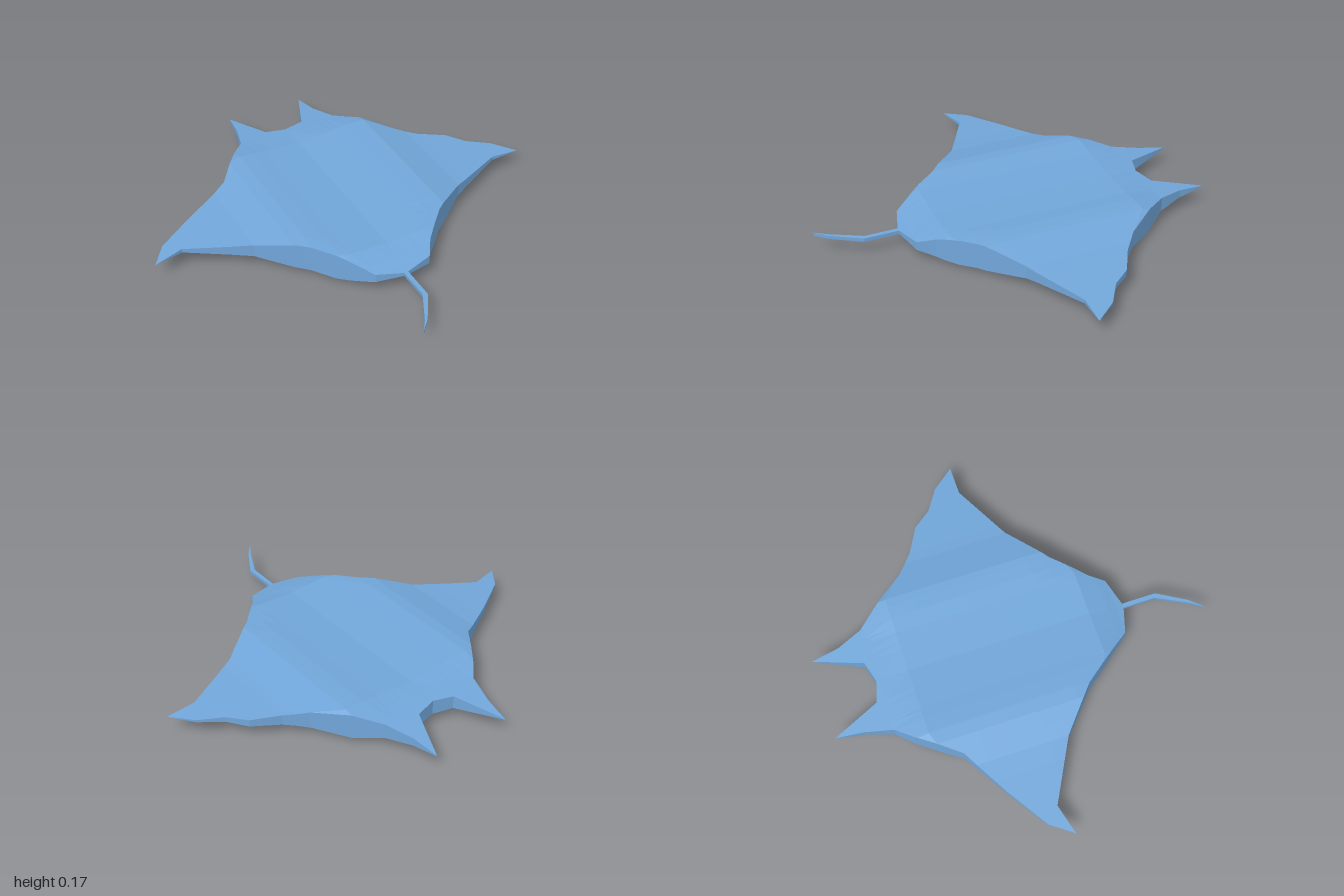
import * as THREE from 'three';

// Piecewise-linear lookup through [position, value] pairs
function lerpTable(table, p) {
  if (p <= table[0][0]) return table[0][1];
  for (let i = 1; i < table.length; i++) {
    const [p0, v0] = table[i - 1], [p1, v1] = table[i];
    if (p <= p1) return v0 + (v1 - v0) * (p - p0) / (p1 - p0);
  }
  return table[table.length - 1][1];
}

// Plan outline: horned edge at -z, tail edge at +z, as [x, z]
const hornEdge = [[-1, -0.02], [-0.92, -0.13], [-0.72, -0.26], [-0.48, -0.4], [-0.33, -0.6],
  [-0.26, -0.68], [-0.22, -0.82], [-0.2, -0.96], [-0.1, -0.72], [0, -0.69], [0.11, -0.72],
  [0.21, -0.96], [0.23, -0.82], [0.28, -0.69], [0.38, -0.57], [0.5, -0.42], [0.6, -0.34],
  [0.73, -0.27], [0.8, -0.18], [0.91, -0.11], [1, 0]];
const tailEdge = [[-1, -0.02], [-0.85, -0.06], [-0.55, 0.1], [-0.34, 0.28], [-0.2, 0.46],
  [-0.14, 0.54], [-0.01, 0.58], [0.01, 0.58], [0.15, 0.54], [0.2, 0.46], [0.34, 0.31],
  [0.55, 0.15], [0.85, 0], [1, 0]];

// Heights of the back and the belly, across the span and along the length
const topAcross = [[0, 0.145], [0.2, 0.155], [0.3, 0.165], [0.38, 0.165], [0.57, 0.121], [1, 0.092]];
const topAlong = [[-0.96, 0.094], [-0.68, 0.13], [-0.53, 0.165], [0.2, 0.165], [0.4, 0.155],
  [0.54, 0.11], [0.58, 0.1]];
const lowAcross = [[0, 0], [0.4, 0.027], [0.57, 0.063], [1, 0.092]];
const lowAlong = [[-0.96, 0.09], [-0.68, 0.05], [-0.53, 0.012], [-0.4, 0], [0.2, 0], [0.4, 0.018],
  [0.5, 0.05], [0.58, 0.082]];
const topY = (x, z) => Math.min(lerpTable(topAcross, Math.abs(x)), lerpTable(topAlong, z));
const lowY = (x, z) => Math.max(lerpTable(lowAcross, Math.abs(x)), lerpTable(lowAlong, z));

// Pale patch under the body, narrowing out along the wings
function isBelly(x, z) {
  const a = Math.abs(x);
  return a < 0.27 ? z > -0.62 && z < 0.46 : a < 0.66 && z > -0.32 && z < 0.4 - 0.6 * a;
}

function facetedMesh(name, positions, material) {
  const geometry = new THREE.BufferGeometry();
  geometry.setAttribute('position', new THREE.Float32BufferAttribute(positions, 3));
  geometry.computeVertexNormals();
  const mesh = new THREE.Mesh(geometry, material);
  mesh.name = name;
  return mesh;
}

// Add a quad as two triangles, skipping any that have collapsed
function addQuad(out, a, b, c, d) {
  for (const [p, q, r] of [[a, b, c], [a, c, d]]) {
    const area = q.clone().sub(p).cross(r.clone().sub(p)).length();
    if (area > 1e-7) for (const v of [p, q, r]) out.push(v.x, v.y, v.z);
  }
}

export function createModel() {
  const model = new THREE.Group();
  model.name = 'ray';
  const blue = new THREE.MeshStandardMaterial({ color: 0x71a6d9, flatShading: true });
  const pale = new THREE.MeshStandardMaterial({ color: 0xa8a299, flatShading: true });

  // Slices across the span, each split at shared lengthwise stations
  const xs = [...new Set([...hornEdge, ...tailEdge].map(p => p[0]).concat([-0.4, -0.65, 0.66]))]
    .sort((a, b) => a - b);
  const stations = [-0.82, -0.68, -0.53, -0.4, -0.3, -0.15, 0, 0.1, 0.2, 0.3, 0.4, 0.5, 0.54];
  const slices = xs.map(x => {
    const z0 = lerpTable(hornEdge, x), z1 = lerpTable(tailEdge, x);
    const zs = [z0, ...stations.map(z => THREE.MathUtils.clamp(z, z0, z1)), z1];
    return {
      top: zs.map(z => new THREE.Vector3(x, topY(x, z), z)),
      low: zs.map(z => new THREE.Vector3(x, lowY(x, z), z)),
    };
  });

  const back = [], underside = [], belly = [], rim = [];
  for (let i = 0; i < slices.length - 1; i++) {
    const s = slices[i], t = slices[i + 1], n = s.top.length - 1;
    for (let j = 0; j < n; j++) {
      addQuad(back, s.top[j], s.top[j + 1], t.top[j + 1], t.top[j]);
      const corners = [s.low[j], t.low[j], t.low[j + 1], s.low[j + 1]];
      const mid = corners.reduce((m, v) => m.addScaledVector(v, 0.25), new THREE.Vector3());
      addQuad(isBelly(mid.x, mid.z) ? belly : underside, ...corners);
    }
    // Upright rim along both edges
    addQuad(rim, s.top[0], t.top[0], t.low[0], s.low[0]);
    addQuad(rim, t.top[n], s.top[n], s.low[n], t.low[n]);
  }
  model.add(
    facetedMesh('back', back, blue),
    facetedMesh('underside', underside, blue),
    facetedMesh('belly', belly, pale),
    facetedMesh('rim', rim, blue),
  );

  // Thin bent tail
  const outline = [[-0.01, 0.55], [0.012, 0.55], [0.012, 0.755], [-0.075, 0.9], [-0.13, 0.96],
    [-0.09, 0.9], [-0.01, 0.745]];
  const tailShape = new THREE.Shape(outline.map(([x, z]) => new THREE.Vector2(x, z)));
  const tailGeometry = new THREE.ExtrudeGeometry(tailShape, { depth: 0.018, bevelEnabled: false });
  tailGeometry.rotateX(Math.PI / 2);
  const tail = new THREE.Mesh(tailGeometry, blue);
  tail.name = 'tail';
  tail.position.y = 0.1;
  model.add(tail);
  return model;
}
